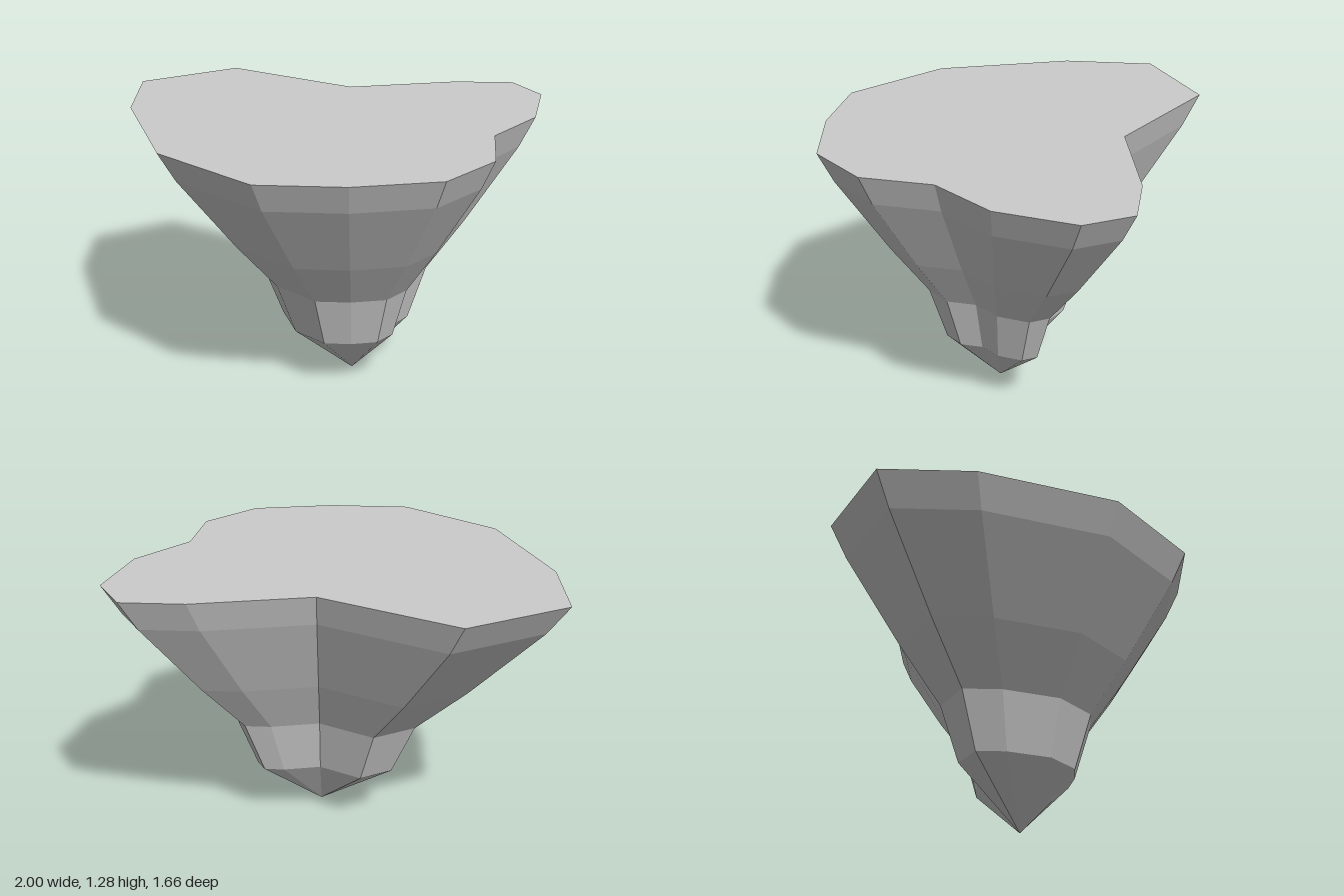
import * as THREE from 'three';

// Rim outline [x, z], running clockwise seen from above
const OUTLINE = [
  [-1, -0.545], [-0.57, -0.832], [0.057, -0.55], [0.58, -0.693], [0.868, -0.707],
  [1, -0.512], [0.95, -0.15], [0.755, 0.13], [0.75, 0.458], [0.545, 0.715],
  [0.16, 0.815], [-0.23, 0.828], [-0.688, 0.5], [-0.955, -0.11],
];

// Ring profile from rim to tip: [height, outline scale about the tip axis]
const RINGS = [[1.285, 1], [1.143, 0.917], [0.777, 0.633], [0.533, 0.422], [0.272, 0.324], [0, 0]];

const AXIS = { x: 0.118, z: 0.005 };

function ringPoint(ring, i) {
  const [y, s] = RINGS[ring];
  const [x, z] = OUTLINE[i % OUTLINE.length];
  return [AXIS.x + (x - AXIS.x) * s, y, AXIS.z + (z - AXIS.z) * s];
}

function facetedMesh(name, positions) {
  const geometry = new THREE.BufferGeometry();
  geometry.setAttribute('position', new THREE.Float32BufferAttribute(positions, 3));
  geometry.computeVertexNormals();
  const mesh = new THREE.Mesh(geometry, new THREE.MeshStandardMaterial({ color: 0xcccccc, flatShading: true }));
  mesh.name = name;
  return mesh;
}

export function createModel() {
  const group = new THREE.Group();
  group.name = 'floatingIsland';
  const wall = [];
  const lid = [];
  const last = RINGS.length - 2;

  for (let i = 0; i < OUTLINE.length; i++) {
    // Flat top, fanned around the axis
    lid.push(AXIS.x, RINGS[0][0], AXIS.z, ...ringPoint(0, i + 1), ...ringPoint(0, i));

    // Rock flank, ring by ring, closing to a point
    for (let r = 0; r <= last; r++) {
      const a = ringPoint(r, i), b = ringPoint(r, i + 1);
      const c = ringPoint(r + 1, i + 1), d = ringPoint(r + 1, i);
      wall.push(...a, ...b, ...c);
      if (r < last) wall.push(...a, ...c, ...d);
    }
  }

  group.add(facetedMesh('flatTop', lid), facetedMesh('rockUnderside', wall));
  return group;
}
